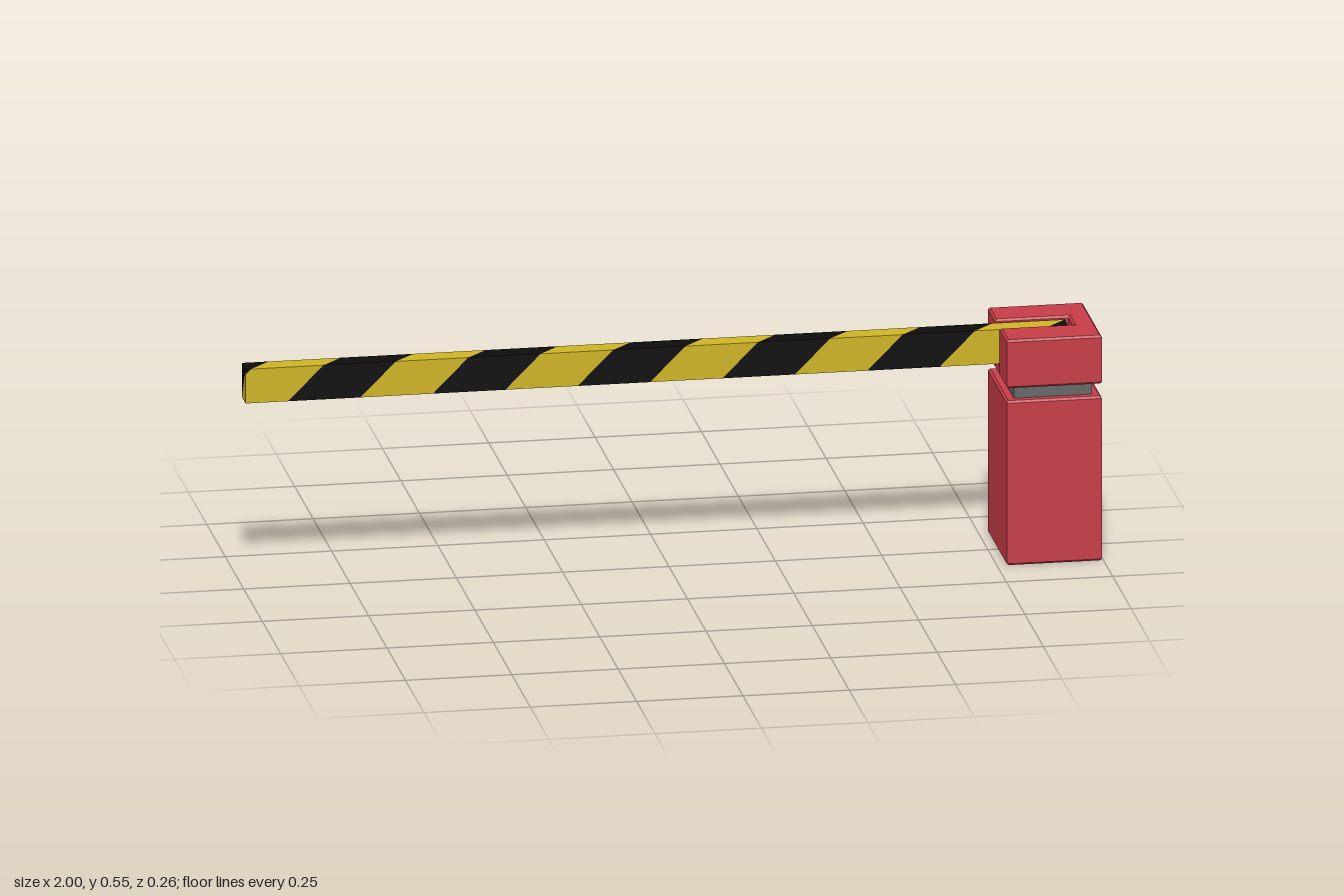
import * as THREE from 'three';

const RED = new THREE.MeshStandardMaterial({ color: 0xc63c48 });
const GREY = new THREE.MeshStandardMaterial({ color: 0x666666 });
const YELLOW = new THREE.MeshStandardMaterial({ color: 0xceb325 });
const BLACK = new THREE.MeshStandardMaterial({ color: 0x0c0c0c });
RED.name = 'red'; GREY.name = 'grey'; YELLOW.name = 'yellow'; BLACK.name = 'black';

// Footprint outline [x, z] raised from y0 to y1 with a small chamfer
function block(name, outline, y0, y1, material, bevel = 0.005) {
  const shape = new THREE.Shape(outline.map(([x, z]) => new THREE.Vector2(x, -z)));
  const geo = new THREE.ExtrudeGeometry(shape, {
    depth: y1 - y0 - 2 * bevel, bevelThickness: bevel, bevelSize: bevel,
    bevelOffset: -bevel, bevelSegments: 1,
  });
  geo.rotateX(-Math.PI / 2).translate(0, y0 + bevel, 0);
  const mesh = new THREE.Mesh(geo, material);
  mesh.name = name;
  return mesh;
}

const rect = (x0, x1, z) => [[x0, z], [x1, z], [x1, -z], [x0, -z]];

// Keep the part of a polygon of [x, s] points where side * (x - limit) >= 0
function clip(poly, limit, side) {
  const out = [];
  poly.forEach((p, i) => {
    const q = poly[(i + 1) % poly.length];
    const a = side * (p[0] - limit), b = side * (q[0] - limit);
    if (a >= 0) out.push(p);
    if (a * b < 0) {
      const t = a / (a - b);
      out.push([limit, p[1] + (q[1] - p[1]) * t]);
    }
  });
  return out;
}

function fan(positions, points) {
  for (let i = 1; i < points.length - 1; i++) {
    positions.push(...points[0], ...points[i], ...points[i + 1]);
  }
}

// Square arm with slanted stripes winding around its four sides
function createArm() {
  const X0 = -1, X1 = 0.935, Y0 = 0.459, Y1 = 0.542, Z = 0.025;
  const PERIOD = 0.3405, WIDTH = PERIOD / 2, START = -0.9;
  const ring = [[Y0, Z], [Y1, Z], [Y1, -Z], [Y0, -Z]];
  const black = [], yellow = [];

  let s0 = 0;
  ring.forEach(([ya, za], i) => {
    const [yb, zb] = ring[(i + 1) % 4];
    const length = Math.hypot(yb - ya, zb - za), s1 = s0 + length;
    for (let k = -4; k < 13; k++) {
      const x = START + k * WIDTH;
      let poly = [[x + s0, s0], [x + WIDTH + s0, s0], [x + WIDTH + s1, s1], [x + s1, s1]];
      poly = clip(clip(poly, X0, 1), X1, -1);
      const points = poly.map(([px, s]) => {
        const t = (s - s0) / length;
        return [px, ya + (yb - ya) * t, za + (zb - za) * t];
      });
      fan(k % 2 === 0 ? black : yellow, points);
    }
    s0 = s1;
  });

  // End caps
  const [fb, ft, bt, bb] = ring.map(([y, z]) => [X0, y, z]);
  fan(yellow, [fb, ft, bb]);
  fan(black, [ft, bt, bb]);
  fan(black, ring.map(([y, z]) => [X1, y, z]).reverse());

  const arm = new THREE.Group();
  arm.name = 'barrierArm';
  for (const [name, pos, mat] of [['blackStripes', black, BLACK], ['yellowStripes', yellow, YELLOW]]) {
    const geo = new THREE.BufferGeometry();
    geo.setAttribute('position', new THREE.Float32BufferAttribute(pos, 3));
    geo.computeVertexNormals();
    const mesh = new THREE.Mesh(geo, mat);
    mesh.name = name;
    arm.add(mesh);
  }
  return arm;
}

export function createModel() {
  const model = new THREE.Group();
  model.name = 'barrierGate';
  const L = 0.772, R = 0.996, W = 0.129, slotEnd = 0.945, slotW = 0.033;

  // Pedestal and recessed neck
  model.add(block('pedestal', rect(L, R, W), 0, 0.4, RED));
  model.add(block('neck', rect(L + 0.02, R - 0.02, W - 0.021), 0.395, 0.435, GREY, 0.003));

  // Head with a slot open towards the arm
  model.add(block('head', [
    [L, W], [R, W], [R, -W], [L, -W],
    [L, -slotW], [slotEnd, -slotW], [slotEnd, slotW], [L, slotW],
  ], 0.43, 0.548, RED));
  model.add(block('slotFloor', rect(L + 0.002, slotEnd + 0.01, slotW + 0.008), 0.431, 0.452, RED, 0.001));

  model.add(createArm());
  return model;
}
